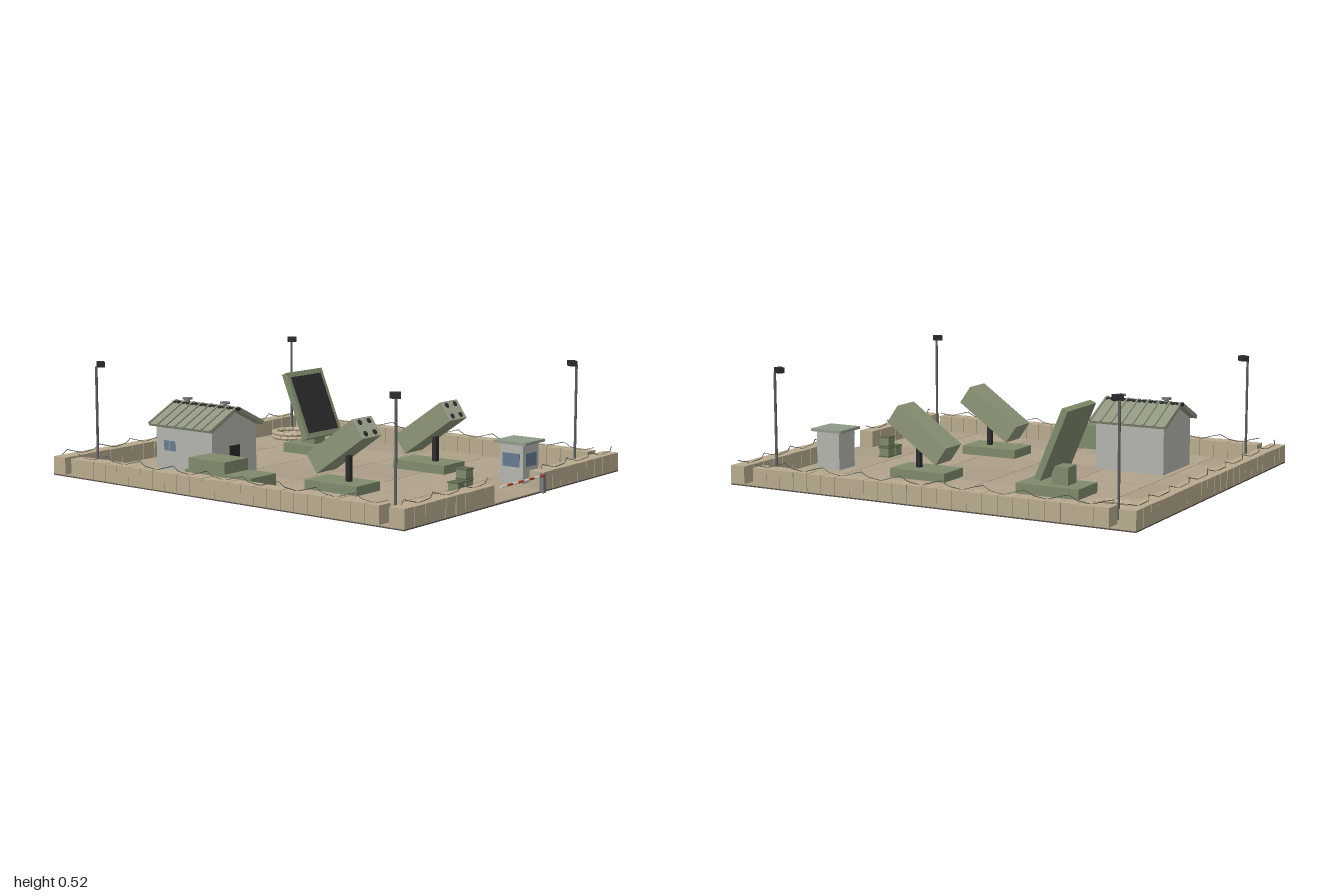
import * as THREE from 'three';

const mats = {};
const mat = (c) => (mats[c] ??= new THREE.MeshStandardMaterial({ color: c, flatShading: true }));
const SAND = 0xb8aa8e, GREEN = 0x7f8a6c, OLIVE = 0x8c9678, DARK = 0x2c2c2c, GREY = 0xb4b4ae, GLASS = 0x667a90;
let seed = 7;
const rnd = () => ((seed = (seed * 16807) % 2147483647) / 2147483647) - 0.5;

function add(parent, name, geo, color, x = 0, y = 0, z = 0) {
  const m = new THREE.Mesh(geo, mat(color));
  m.name = name;
  m.position.set(x, y, z);
  parent.add(m);
  return m;
}
const box = (p, name, color, w, h, d, x, y, z) => add(p, name, new THREE.BoxGeometry(w, h, d), color, x, y, z);
// box given by its limits
const span = (p, name, color, x0, x1, y0, y1, z0, z1) =>
  box(p, name, color, x1 - x0, y1 - y0, z1 - z0, (x0 + x1) / 2, (y0 + y1) / 2, (z0 + z1) / 2);
const cyl = (p, name, color, r, h, x, y, z, n = 10) => add(p, name, new THREE.CylinderGeometry(r, r, h, n), color, x, y, z);

function group(parent, name, x = 0, y = 0, z = 0) {
  const g = new THREE.Group();
  g.name = name;
  g.position.set(x, y, z);
  parent.add(g);
  return g;
}

// Paved ground on a dark base
function ground(root) {
  const g = group(root, 'ground');
  span(g, 'groundBase', 0x55504a, -1, 0.98, 0, 0.005, -0.838, 0.833);
  const tones = [0xaea08a, 0xaa9c86, 0xb0a38c];
  for (let i = 0; i < 6; i++)
    for (let j = 0; j < 6; j++)
      box(g, 'pavingSlab', tones[(i * 2 + j * 5 + i * j) % 3], 0.327, 0.008, 0.275, -0.835 + i * 0.33, 0.005, -0.698 + j * 0.2785);
}

// Row of barrier blocks from a to b, with a zigzag wire coil on top
function wall(root, name, alongX, a, b, c, n) {
  const g = group(root, name), step = (b - a) / n, pts = [];
  const put = (t, o) => (alongX ? [t, c + o] : [c + o, t]);
  for (let i = 0; i < n; i++) {
    const [x, z] = put(a + (i + 0.5) * step, 0);
    const l = step * 0.97, w = 0.074;
    const m = box(g, 'barrierBlock', SAND, alongX ? l : w, 0.08 + rnd() * 0.004, alongX ? w : l, x, 0.047, z);
    m.rotation.y = rnd() * 0.05;
  }
  const k = Math.max(2, Math.round((b - a) / 0.05));
  for (let i = 0; i <= k; i++) {
    const [x, z] = put(a + ((b - a) * i) / k, Math.sin((i * Math.PI) / 2) * 0.022);
    pts.push(new THREE.Vector3(x, 0.1 + Math.cos((i * Math.PI) / 2) * 0.014, z));
  }
  const path = new THREE.CurvePath();
  for (let i = 0; i < k; i++) path.add(new THREE.LineCurve3(pts[i], pts[i + 1]));
  add(g, 'barbedWire', new THREE.TubeGeometry(path, k * 2, 0.0018, 4), 0x55554f);
}

// Box launcher raised towards +x
function launcher(root, z) {
  const g = group(root, 'launcher', 0, 0, z);
  span(g, 'launcherBase', GREEN, 0.145, 0.43, 0.008, 0.05, -0.083, 0.083);
  box(g, 'launcherPost', DARK, 0.022, 0.13, 0.022, 0.325, 0.1, 0);
  const t = group(g, 'launchBox', 0.297, 0.208, 0);
  t.rotation.z = 0.61;
  box(t, 'launchBoxBody', OLIVE, 0.305, 0.098, 0.135, 0, 0, 0);
  box(t, 'launchBoxFace', 0xa2a890, 0.004, 0.092, 0.129, 0.153, 0, 0);
  for (const y of [-0.028, 0.028])
    for (const s of [-0.032, 0.032])
      cyl(t, 'tubeMouth', DARK, 0.013, 0.006, 0.154, y, s, 12).rotation.z = Math.PI / 2;
}

// Tilted flat antenna facing +x
function radar(root) {
  const g = group(root, 'radar', 0, 0, -0.345);
  span(g, 'radarBase', GREEN, -0.545, -0.24, 0.008, 0.055, -0.09, 0.09);
  box(g, 'radarMount', GREEN, 0.08, 0.09, 0.08, -0.43, 0.09, 0);
  const p = group(g, 'antenna', -0.435, 0.245, 0);
  p.rotation.z = 0.4;
  box(p, 'antennaFrame', GREEN, 0.03, 0.335, 0.27, 0, 0, 0);
  box(p, 'antennaFace', DARK, 0.006, 0.285, 0.225, 0.015, 0, 0);
}

// Gabled hut with ribbed roof, ridge cap and vents
function hut(root) {
  const g = group(root, 'hut', -0.47, 0, 0.38);
  const s = new THREE.Shape([[-0.15, 0.008], [0.15, 0.008], [0.15, 0.23], [0, 0.302], [-0.15, 0.23]].map((p) => new THREE.Vector2(...p)));
  const geo = new THREE.ExtrudeGeometry(s, { depth: 0.34, bevelEnabled: false });
  geo.translate(0, 0, -0.17).rotateY(Math.PI / 2);
  add(g, 'hutWalls', geo, GREY);
  for (const side of [-1, 1]) {
    const r = group(g, 'roofSide', 0, 0.274, side * 0.088);
    r.rotation.x = side * 0.452;
    box(r, 'roofSheet', 0x8f9680, 0.385, 0.012, 0.196, 0, 0, 0);
    for (let i = 0; i < 8; i++) box(r, 'roofRib', 0x8f9680, 0.008, 0.008, 0.196, -0.188 + i * 0.0537, 0.008, 0);
  }
  box(g, 'ridgeCap', DARK, 0.39, 0.014, 0.03, 0, 0.315, 0);
  for (let i = 0; i < 14; i++) box(g, 'ridgeClip', DARK, 0.014, 0.012, 0.042, -0.182 + i * 0.028, 0.313, 0);
  for (const x of [-0.115, 0.115]) {
    cyl(g, 'ventPipe', 0x77797a, 0.012, 0.03, x, 0.325, 0);
    cyl(g, 'ventCap', 0x77797a, 0.023, 0.008, x, 0.338, 0, 12);
  }
  box(g, 'hutWindow', GLASS, 0.066, 0.046, 0.006, -0.087, 0.14, 0.15);
  box(g, 'windowBar', GREY, 0.004, 0.046, 0.008, -0.087, 0.14, 0.15);
  box(g, 'hutDoor', DARK, 0.006, 0.14, 0.07, 0.17, 0.08, 0);
}

// Guard booth beside the gate
function booth(root) {
  const g = group(root, 'guardBooth', 0.775, 0, -0.313);
  box(g, 'boothWalls', GREY, 0.122, 0.177, 0.127, 0, 0.0965, 0);
  box(g, 'boothRoof', 0x8f9a88, 0.165, 0.012, 0.162, 0, 0.19, 0);
  box(g, 'frontWindow', GLASS, 0.088, 0.06, 0.006, 0, 0.112, 0.063);
  box(g, 'sideWindow', GLASS, 0.006, 0.06, 0.088, 0.061, 0.112, 0);
}

// Low flatbed vehicle
function truck(root) {
  const g = group(root, 'truck');
  span(g, 'truckBody', GREEN, -0.28, 0.1, 0.03, 0.092, 0.563, 0.728);
  span(g, 'truckCabin', GREEN, -0.26, -0.05, 0.092, 0.145, 0.573, 0.726);
  for (const x of [-0.217, 0.038])
    for (const z of [0.566, 0.725]) cyl(g, 'wheel', DARK, 0.033, 0.024, x, 0.041, z, 14).rotation.x = Math.PI / 2;
}

// Lamp posts at the four corners, heads turned inwards
function lamp(root, sx, sz) {
  const g = group(root, 'lampPost', -0.01 + sx * 0.845, 0, sz * 0.693);
  cyl(g, 'lampPole', 0x5c5e5e, 0.006, 0.49, 0, 0.25, 0, 8);
  const head = box(g, 'lampHead', DARK, 0.045, 0.024, 0.034, -sx * 0.015, 0.505, -sz * 0.014);
  head.rotation.y = sx * sz * 0.65;
}

// Ring of sandbags in two courses
function sandbags(root) {
  const g = group(root, 'sandbagRing', -0.775, 0, -0.61);
  const n = 14;
  for (let k = 0; k < 2; k++)
    for (let i = 0; i < n; i++) {
      const a = ((i + k * 0.5) / n) * Math.PI * 2;
      const bag = add(g, 'sandbag', new THREE.CapsuleGeometry(0.012, 0.024, 3, 8).rotateX(Math.PI / 2), SAND,
        Math.cos(a) * 0.096, 0.02 + k * 0.02, Math.sin(a) * 0.096);
      bag.rotation.y = -a;
      bag.scale.x = 1.15;
    }
}

// Striped gate bar on a post
function gate(root) {
  const g = group(root, 'gate');
  box(g, 'gatePost', 0x77797a, 0.02, 0.085, 0.02, 0.985, 0.0425, -0.175);
  for (let i = 0; i < 8; i++)
    cyl(g, 'gateBarStripe', i % 2 ? 0xd8d8d0 : 0xb03a2e, 0.0055, 0.0425, 0.9945, 0.078, -0.15 + i * 0.0425, 8).rotation.x = Math.PI / 2;
}

function crate(root, x, y, z) {
  const g = group(root, 'crate', x, y, z);
  box(g, 'crateBody', GREEN, 0.052, 0.046, 0.052, 0, 0, 0);
  for (const s of [-1, 1]) box(g, 'crateRim', 0x5f694f, 0.057, 0.006, 0.057, 0, s * 0.021, 0);
}

export function createModel() {
  const root = new THREE.Group();
  root.name = 'base';
  ground(root);
  wall(root, 'frontWall', true, -0.885, 0.86, 0.796, 24);
  wall(root, 'backWall', true, -0.885, 0.86, -0.801, 24);
  wall(root, 'leftSideWall', false, -0.838, 0.833, -0.962, 23);
  wall(root, 'gateWallBack', false, -0.838, -0.19, 0.943, 9);
  wall(root, 'gateWallFront', false, 0.195, 0.833, 0.943, 9);
  launcher(root, -0.307);
  launcher(root, 0.342);
  radar(root);
  hut(root);
  booth(root);
  truck(root);
  sandbags(root);
  gate(root);
  for (const sx of [-1, 1]) for (const sz of [-1, 1]) lamp(root, sx, sz);
  for (const [y, z] of [[0.033, 0.024], [0.033, 0.086], [0.084, 0.024]]) crate(root, 0.712, y, z);
  return root;
}
